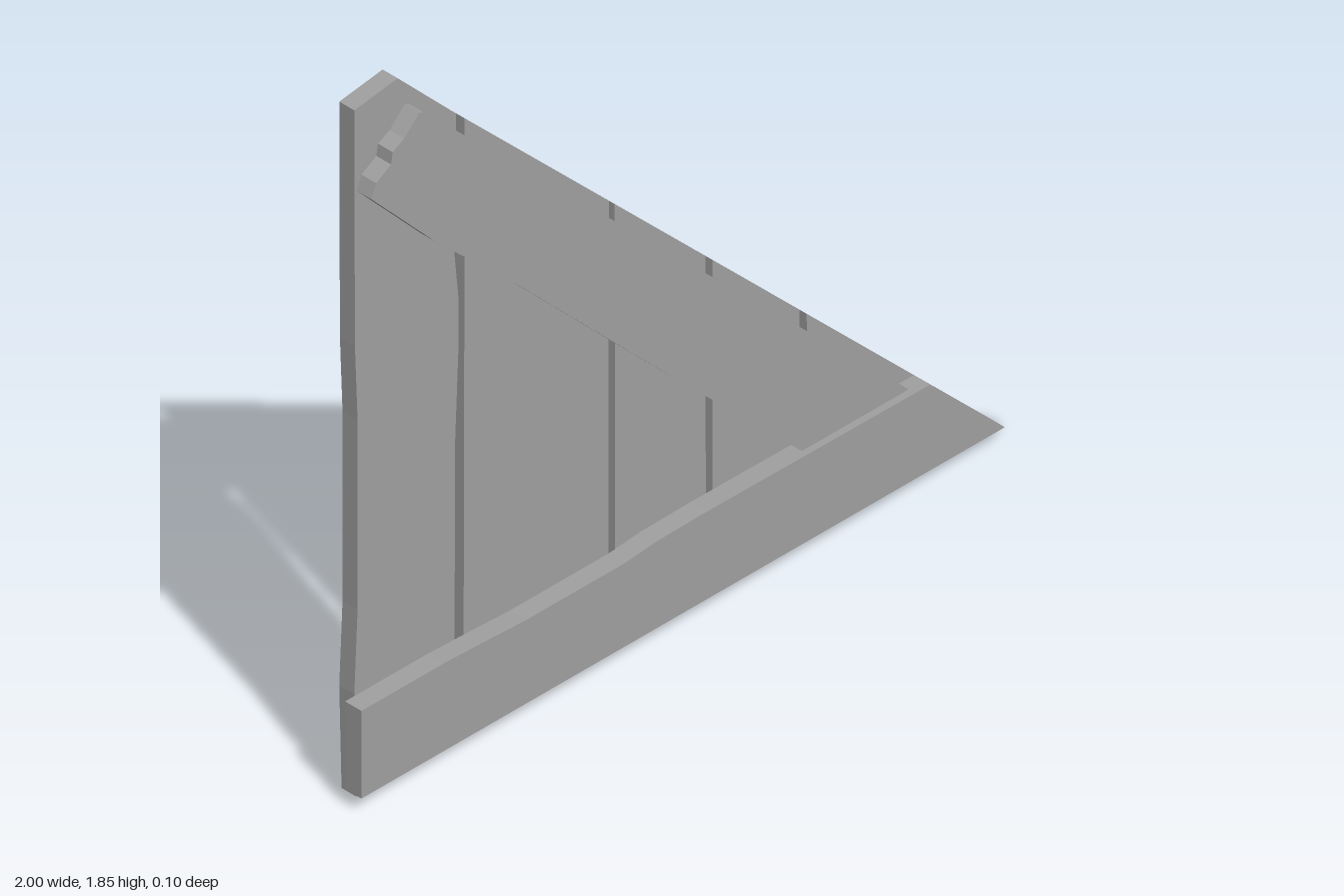
import * as THREE from 'three';

const BACK = -0.046; // rear face of the upright planks

export function createModel() {
  const group = new THREE.Group();
  const wood = new THREE.MeshStandardMaterial({ color: 0xa0a0a0 });
  wood.name = 'grey wood';

  // Flat board cut to an outline, spanning z0 to z1
  function board(name, outline, z0, z1) {
    const shape = new THREE.Shape(outline.map(([x, y]) => new THREE.Vector2(x, y)));
    const geometry = new THREE.ExtrudeGeometry(shape, { depth: z1 - z0, bevelEnabled: false });
    geometry.translate(0, 0, z0);
    const mesh = new THREE.Mesh(geometry, wood);
    mesh.name = name;
    group.add(mesh);
  }

  // Upright planks, trimmed along the slope x + y = 1
  const planks = [
    [[-0.965, 0.005], [-0.95, 0], [-0.69, 0], [-0.675, 0.01], [-0.667, 0.3], [-0.665, 0.8],
      [-0.655, 1.04], [-0.655, 1.17], [-0.668, 1.3], [-0.662, 1.62], [-0.662, 1.662],
      [-0.84, 1.845], [-0.972, 1.826], [-0.97, 1.2], [-0.962, 1.0], [-0.962, 0.5], [-0.972, 0.28]],
    [[-0.64, 0], [-0.21, 0], [-0.2, 0.008], [-0.197, 1.197], [-0.636, 1.636]],
    [[-0.178, 0.005], [-0.05, 0], [-0.035, 0.012], [-0.02, 0], [0.09, 0], [0.098, 0.008],
      [0.096, 0.904], [-0.18, 1.18]],
    [[0.118, 0], [0.375, 0], [0.383, 0.008], [0.383, 0.617], [0.117, 0.883]],
    [[0.416, 0.005], [0.43, 0], [0.785, 0], [0.797, 0.008], [0.802, 0.04], [0.812, 0.045],
      [0.817, 0.183], [0.404, 0.596]],
    [[0.838, 0], [1, 0], [0.84, 0.16]],
  ];
  planks.forEach((outline, i) => board(`uprightPlank${i + 1}`, outline, BACK, 0));

  // Horizontal rail across the bottom
  board('bottomRail', [[-1, 0.043], [0.957, 0.043], [0.73, 0.27], [0.05, 0.275], [-0.1, 0.273],
    [-0.2, 0.264], [-0.5, 0.264], [-0.62, 0.27], [-0.75, 0.275], [-1, 0.275]], 0, 0.05);

  // Diagonal brace with a splintered upper end
  board('diagonalBrace', [[0.345, 0.285], [0.67, 0.285], [-0.805, 1.76], [-0.82, 1.765],
    [-0.865, 1.72], [-0.9, 1.702], [-0.905, 1.672], [-0.95, 1.645], [-0.965, 1.61],
    [-0.77, 1.4], [-0.53, 1.17], [-0.04, 0.67]], 0, 0.045);

  return group;
}
